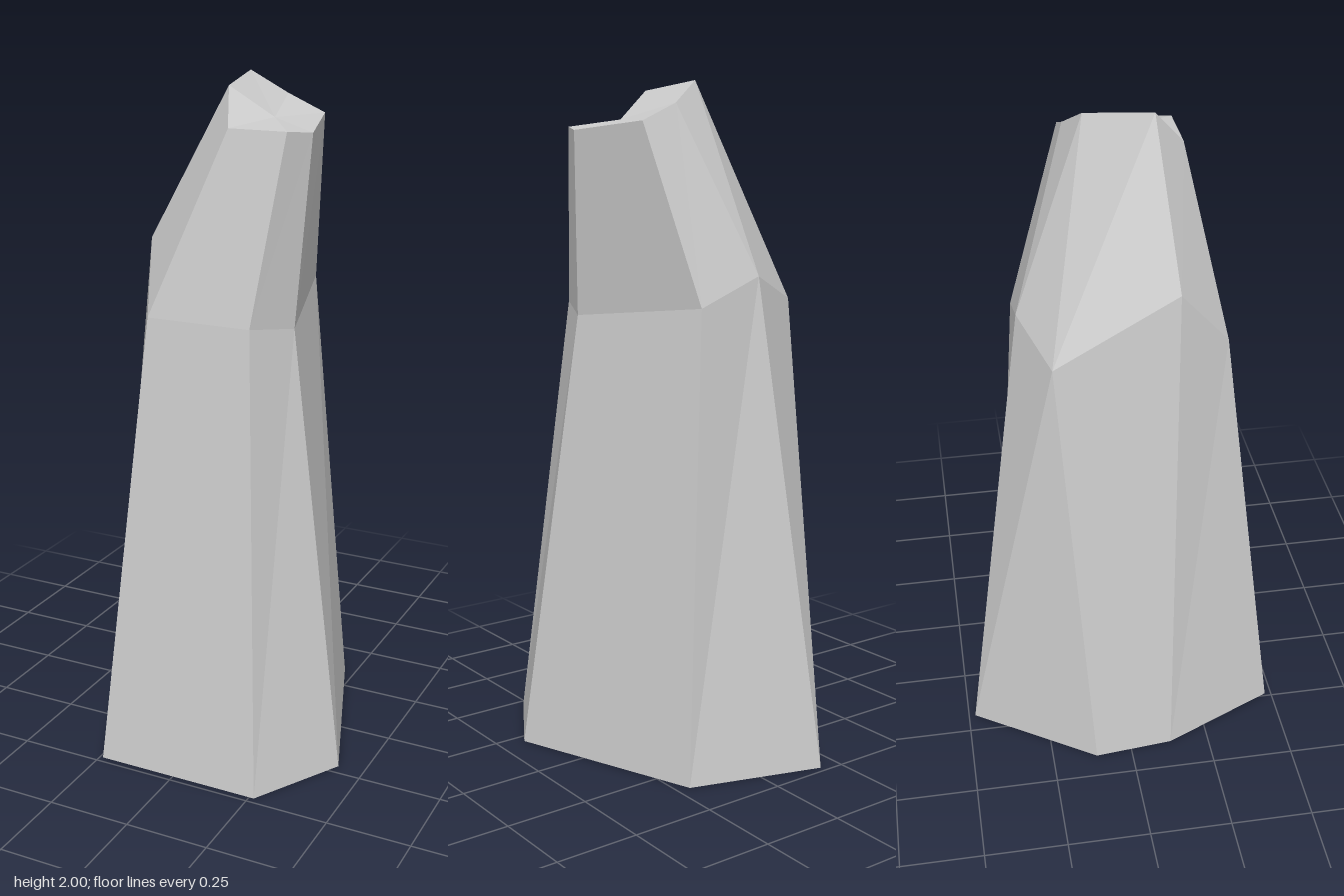
import * as THREE from 'three';

// Seven-sided rings, from the ground up, as [x, y, z]
const rings = [
  [[-0.185, 0, -0.48], [0.21, 0, -0.357], [0.42, 0, 0.215], [0.265, 0, 0.48], [-0.24, 0, 0.48], [-0.397, 0, 0.13], [-0.42, 0, -0.112]],
  [[-0.09, 1.45, -0.283], [0.113, 1.37, -0.28], [0.237, 1.32, 0.162], [0.17, 1.345, 0.315], [-0.147, 1.345, 0.315], [-0.215, 1.54, 0.16], [-0.27, 1.37, -0.205]],
  [[0.085, 1.935, -0.122], [0.2, 1.885, -0.122], [0.268, 1.86, 0.122], [0.23, 1.87, 0.21], [0.055, 1.87, 0.21], [0.015, 1.975, 0.122], [-0.015, 2, -0.08]],
];
const dip = [0.135, 1.89, 0.08];

function facetedMesh(name, triangles) {
  const geometry = new THREE.BufferGeometry();
  geometry.setAttribute('position', new THREE.Float32BufferAttribute(triangles.flat(2), 3));
  geometry.computeVertexNormals();
  const material = new THREE.MeshStandardMaterial({ color: 0xcccccc, flatShading: true, side: THREE.DoubleSide });
  const mesh = new THREE.Mesh(geometry, material);
  mesh.name = name;
  return mesh;
}

// Facets joining two neighbouring rings
function band(low, high) {
  return low.flatMap((p, i) => {
    const j = (i + 1) % low.length;
    return [[low[j], p, high[i]], [low[j], high[i], high[j]]];
  });
}

export function createModel() {
  const group = new THREE.Group();
  group.name = 'standingRock';

  // Tall tapering body, open underneath, and its leaning upper part
  group.add(facetedMesh('rockBase', band(rings[0], rings[1])));
  group.add(facetedMesh('rockShoulder', band(rings[1], rings[2])));

  // Slightly hollow cap fanned around a low point
  const rim = rings[2];
  group.add(facetedMesh('rockTip', rim.map((p, i) => [dip, rim[(i + 1) % rim.length], p])));
  return group;
}
